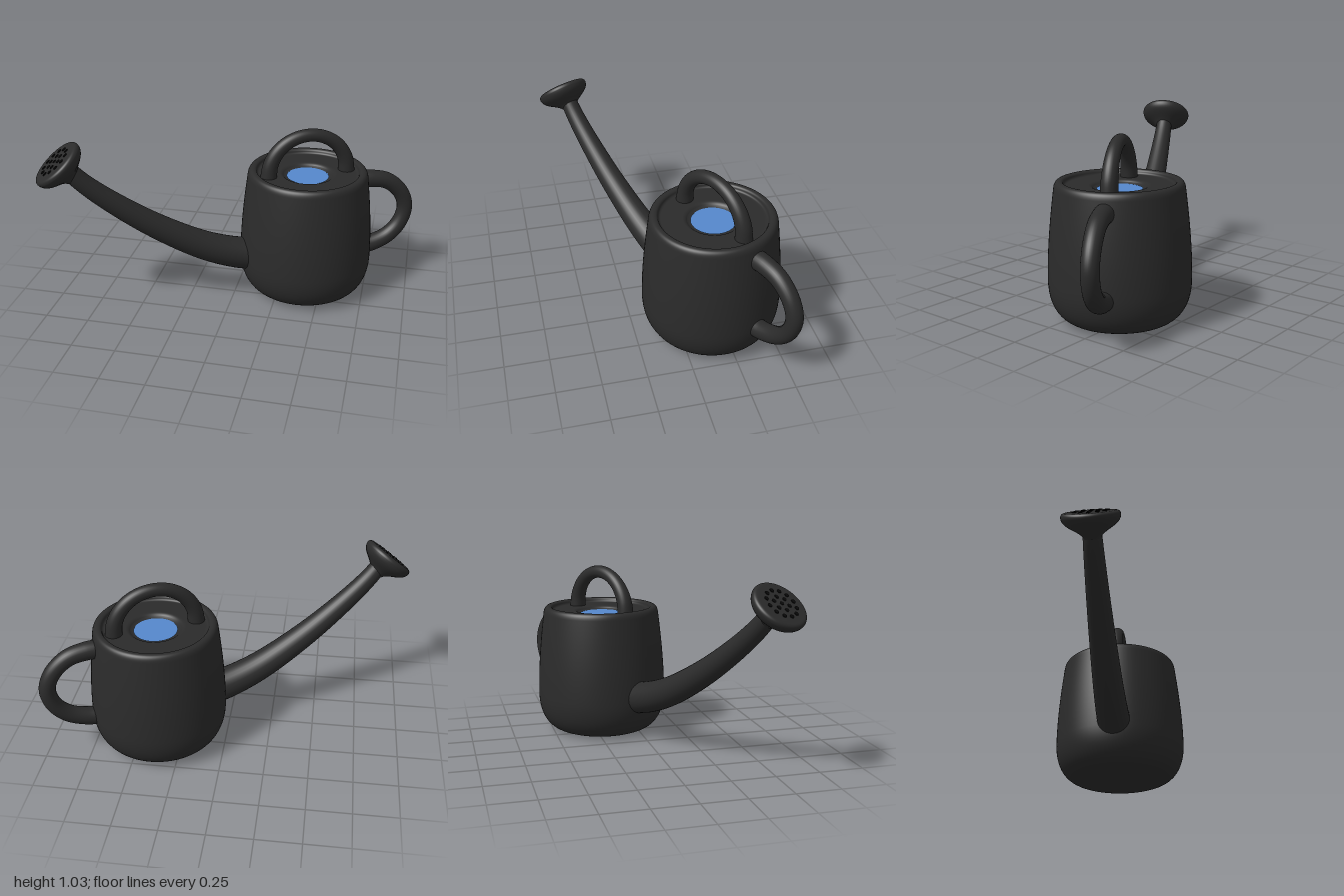
import * as THREE from 'three';

const dark = new THREE.MeshStandardMaterial({ color: 0x2b2b2b });
const black = new THREE.MeshStandardMaterial({ color: 0x080808 });
const blue = new THREE.MeshStandardMaterial({ color: 0x5588cc });

function part(name, geometry, material = dark) {
  const mesh = new THREE.Mesh(geometry, material);
  mesh.name = name;
  return mesh;
}

// Smooth tube through [x, y] points whose radius follows radiusAt(t), t from 0 to 1
function taperedTube(points, radiusAt, segments = 64, sides = 28) {
  const curve = new THREE.CatmullRomCurve3(points.map(([x, y]) => new THREE.Vector3(x, y, 0)), false, 'centripetal');
  const geometry = new THREE.TubeGeometry(curve, segments, 1, sides);
  const pos = geometry.attributes.position;
  const v = new THREE.Vector3();
  for (let i = 0; i < pos.count; i++) {
    const t = Math.floor(i / (sides + 1)) / segments;
    const centre = curve.getPointAt(t);
    v.fromBufferAttribute(pos, i).sub(centre).multiplyScalar(radiusAt(t)).add(centre);
    pos.setXYZ(i, v.x, v.y, v.z);
  }
  return geometry;
}

export function createModel() {
  const model = new THREE.Group();
  model.name = 'wateringCan';

  // Everything lies along one diagonal axis: local +x is the side handle, -x the spout
  const can = new THREE.Group();
  can.name = 'can';
  can.position.set(0.39, 0, -0.19);
  can.rotation.y = 0.456;
  model.add(can);

  // Body: rounded base, tapering wall, rolled rim, sunken lid with a dished opening
  const profile = new THREE.Path();
  profile.moveTo(0, 0);
  profile.lineTo(0.2, 0);
  profile.lineTo(0.24, 0.002);
  profile.bezierCurveTo(0.33, 0.005, 0.386, 0.09, 0.387, 0.22);
  profile.bezierCurveTo(0.387, 0.4, 0.366, 0.58, 0.348, 0.72);
  profile.quadraticCurveTo(0.343, 0.758, 0.318, 0.759);
  profile.quadraticCurveTo(0.3, 0.759, 0.296, 0.745);
  profile.quadraticCurveTo(0.293, 0.732, 0.28, 0.731);
  profile.lineTo(0.27, 0.731);
  profile.lineTo(0.18, 0.731);
  profile.lineTo(0.165, 0.731);
  profile.quadraticCurveTo(0.15, 0.73, 0.14, 0.718);
  profile.lineTo(0.12, 0.705);
  profile.lineTo(0, 0.705);
  can.add(part('body', new THREE.LatheGeometry(profile.getPoints(14), 80)));

  // Water seen in the opening
  const water = part('water', new THREE.CircleGeometry(0.122, 48), blue);
  water.rotation.x = -Math.PI / 2;
  water.position.y = 0.713;
  can.add(water);

  // Arched carrying handle, thinner at the crown
  const arch = [[-0.236, 0.68]];
  for (let i = 0; i <= 12; i++) {
    const a = Math.PI * (1 - i / 12);
    arch.push([0.234 * Math.cos(a), 0.74 + 0.223 * Math.sin(a)]);
  }
  arch.push([0.236, 0.68]);
  can.add(part('topHandle', taperedTube(arch, t => 0.05 - 0.013 * Math.sin(Math.PI * t))));

  // Side handle
  can.add(part('sideHandle', taperedTube(
    [[0.29, 0.655], [0.4, 0.655], [0.5, 0.63], [0.59, 0.55], [0.627, 0.45],
      [0.6, 0.345], [0.53, 0.268], [0.43, 0.225], [0.32, 0.21]],
    t => 0.055 - 0.009 * Math.sin(Math.PI * t))));

  // Curved spout
  can.add(part('spout', taperedTube(
    [[-0.28, 0.24], [-0.42, 0.265], [-0.62, 0.338], [-0.9, 0.5], [-1.15, 0.685], [-1.29, 0.81], [-1.365, 0.895]],
    t => 0.098 - 0.05 * t)));

  // Sprinkler head
  const head = new THREE.Group();
  head.name = 'sprinklerHead';
  head.position.set(-1.409, 0.925, 0);
  head.rotation.z = 0.7;
  can.add(head);
  const rose = new THREE.Path();
  rose.moveTo(0.042, -0.115);
  rose.bezierCurveTo(0.06, -0.07, 0.145, -0.06, 0.152, -0.005);
  rose.quadraticCurveTo(0.153, 0.016, 0.134, 0.02);
  rose.lineTo(0.125, 0.021);
  rose.lineTo(0, 0.023);
  head.add(part('rose', new THREE.LatheGeometry(rose.getPoints(14), 56)));

  // Spray holes in rings
  const holeGeometry = new THREE.CylinderGeometry(0.012, 0.012, 0.008, 14);
  for (const [count, radius] of [[1, 0], [6, 0.044], [12, 0.086]]) {
    for (let i = 0; i < count; i++) {
      const a = (i / count) * Math.PI * 2;
      const hole = part('sprayHole', holeGeometry, black);
      hole.position.set(radius * Math.cos(a), 0.021, radius * Math.sin(a));
      head.add(hole);
    }
  }
  return model;
}
